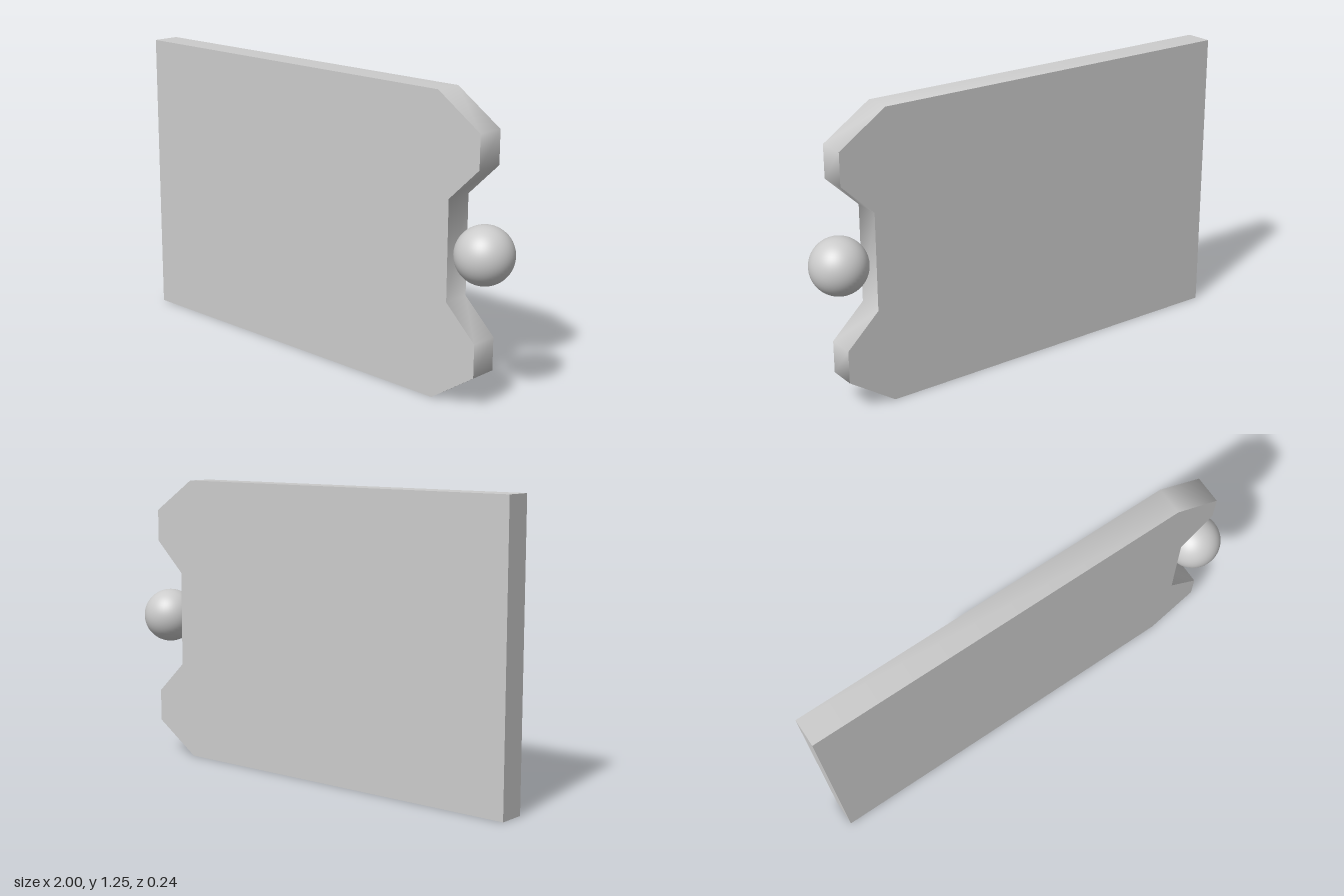
import * as THREE from 'three';
import { toCreasedNormals } from 'three/addons/utils/BufferGeometryUtils.js';

const HEIGHT = 1.255, THICKNESS = 0.12, MID = HEIGHT / 2;

export function createModel() {
  const group = new THREE.Group();
  const material = new THREE.MeshStandardMaterial({ color: 0xcccccc });

  // Flat panel: lower half of the outline, mirrored about its middle height
  const lower = [[-1, 0], [0.68, 0], [0.89, 0.14], [0.89, 0.28], [0.745, 0.418]];
  const upper = lower.map(([x, y]) => [x, HEIGHT - y]).reverse();
  const outline = new THREE.Shape([...lower, ...upper].map(([x, y]) => new THREE.Vector2(x, y)));
  const panelGeometry = new THREE.ExtrudeGeometry(outline, { depth: THICKNESS, bevelEnabled: false });
  panelGeometry.translate(0, 0, -THICKNESS / 2);
  // Chamfers shade softly, the square edges stay sharp
  const panel = new THREE.Mesh(toCreasedNormals(panelGeometry, Math.PI / 3), material);
  panel.name = 'panel';
  group.add(panel);

  // Ball floating in the notch
  const ball = new THREE.Mesh(new THREE.SphereGeometry(0.12, 48, 32), material);
  ball.name = 'ball';
  ball.position.set(0.88, MID, 0);
  group.add(ball);

  return group;
}
